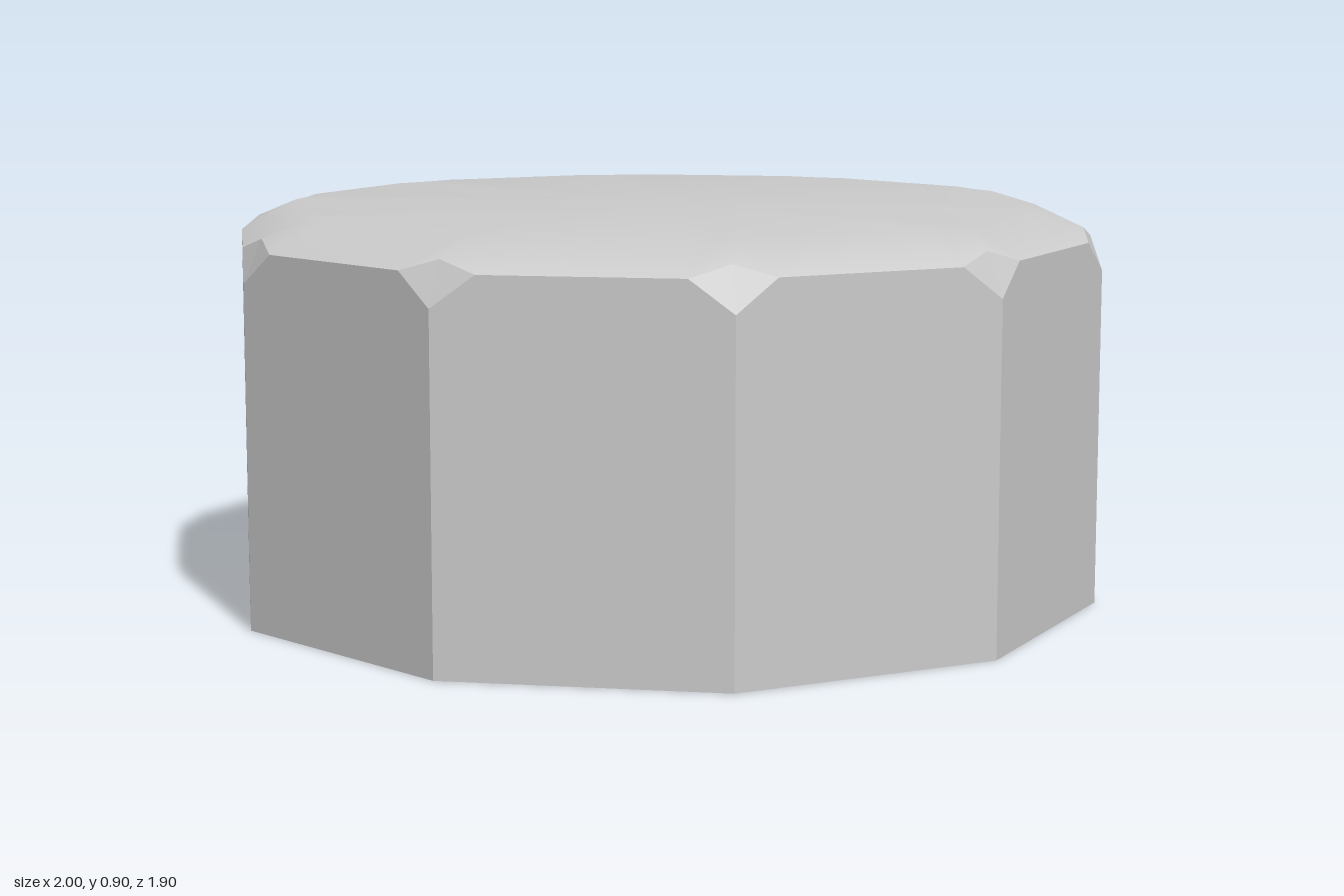
import * as THREE from 'three';

const SIDES = 10;
const STEP = (Math.PI * 2) / SIDES;
const WALL = 0.035;   // wall thickness
const ROOF = 0.045;   // roof thickness
const NICK = 0.154;   // share of each side taken by a corner cut

const polar = (r, a, y) => new THREE.Vector3(r * Math.cos(a), y, -r * Math.sin(a));

// Key points of one corner: foot, cut bottom, cut ends on both sides, cut tip
function corner(k, scale, drop) {
  const at = (i, y) => polar(scale, i * STEP, y);
  return {
    foot: at(k, 0),
    low: at(k, 0.76 - drop),
    before: at(k, 0.83 - drop).lerp(at(k - 1, 0.83 - drop), NICK),
    after: at(k, 0.83 - drop).lerp(at(k + 1, 0.83 - drop), NICK),
    tip: polar(0.957 * scale, k * STEP, 0.856 - drop),
  };
}

// Flat convex polygons, each split into a fan of triangles
function flatGeometry(polygons, inward) {
  const pts = [];
  for (const p of polygons) {
    for (let i = 1; i < p.length - 1; i++) {
      pts.push(...(inward ? [p[0], p[i + 1], p[i]] : [p[0], p[i], p[i + 1]]));
    }
  }
  const g = new THREE.BufferGeometry().setFromPoints(pts);
  g.computeVertexNormals();
  return g;
}

// Smooth roof: rim loop, inset loop and centre
function roofGeometry(corners, scale, drop, inward) {
  const rim = corners.flatMap(c => [c.before, c.tip, c.after]);
  const n = rim.length;
  const inset = rim.map((p, i) => {
    const s = i % 3 === 1 ? 0.875 : 0.869;
    return new THREE.Vector3(p.x * s, 0.9 - drop, p.z * s);
  });
  const index = [];
  const tri = (a, b, c) => index.push(...(inward ? [a, c, b] : [a, b, c]));
  for (let i = 0; i < n; i++) {
    const j = (i + 1) % n;
    tri(i, j, n + j);
    tri(i, n + j, n + i);
    tri(2 * n, n + i, n + j);
  }
  const g = new THREE.BufferGeometry()
    .setFromPoints([...rim, ...inset, new THREE.Vector3(0, 0.9 - drop, 0)]);
  g.setIndex(index);
  g.computeVertexNormals();
  return g;
}

export function createModel() {
  const group = new THREE.Group();
  group.name = 'cap';
  const smooth = new THREE.MeshStandardMaterial({ color: 0xcccccc });
  const flat = new THREE.MeshStandardMaterial({ color: 0xcccccc, flatShading: true });

  const add = (name, geometry, material) => {
    const mesh = new THREE.Mesh(geometry, material);
    mesh.name = name;
    group.add(mesh);
  };

  // Outer and inner skins share one construction
  function addSkin(label, scale, drop, inward) {
    const cs = Array.from({ length: SIDES }, (_, k) => corner(k, scale, drop));
    const walls = cs.map((c, k) => {
      const d = cs[(k + 1) % SIDES];
      return [c.foot, d.foot, d.low, d.before, c.after, c.low];
    });
    const cuts = cs.map(c => [c.low, c.after, c.tip, c.before]);
    add(label + 'Walls', flatGeometry(walls, inward), flat);
    add(label + 'CornerCuts', flatGeometry(cuts, inward), flat);
    add(label + 'Roof', roofGeometry(cs, scale, drop, inward), smooth);
  }
  addSkin('outer', 1, 0, false);
  addSkin('inner', 1 - WALL, ROOF, true);

  // Bottom rim joining the two skins
  add('bottomRim', new THREE.RingGeometry(1 - WALL, 1, SIDES).rotateX(Math.PI / 2), flat);

  return group;
}
